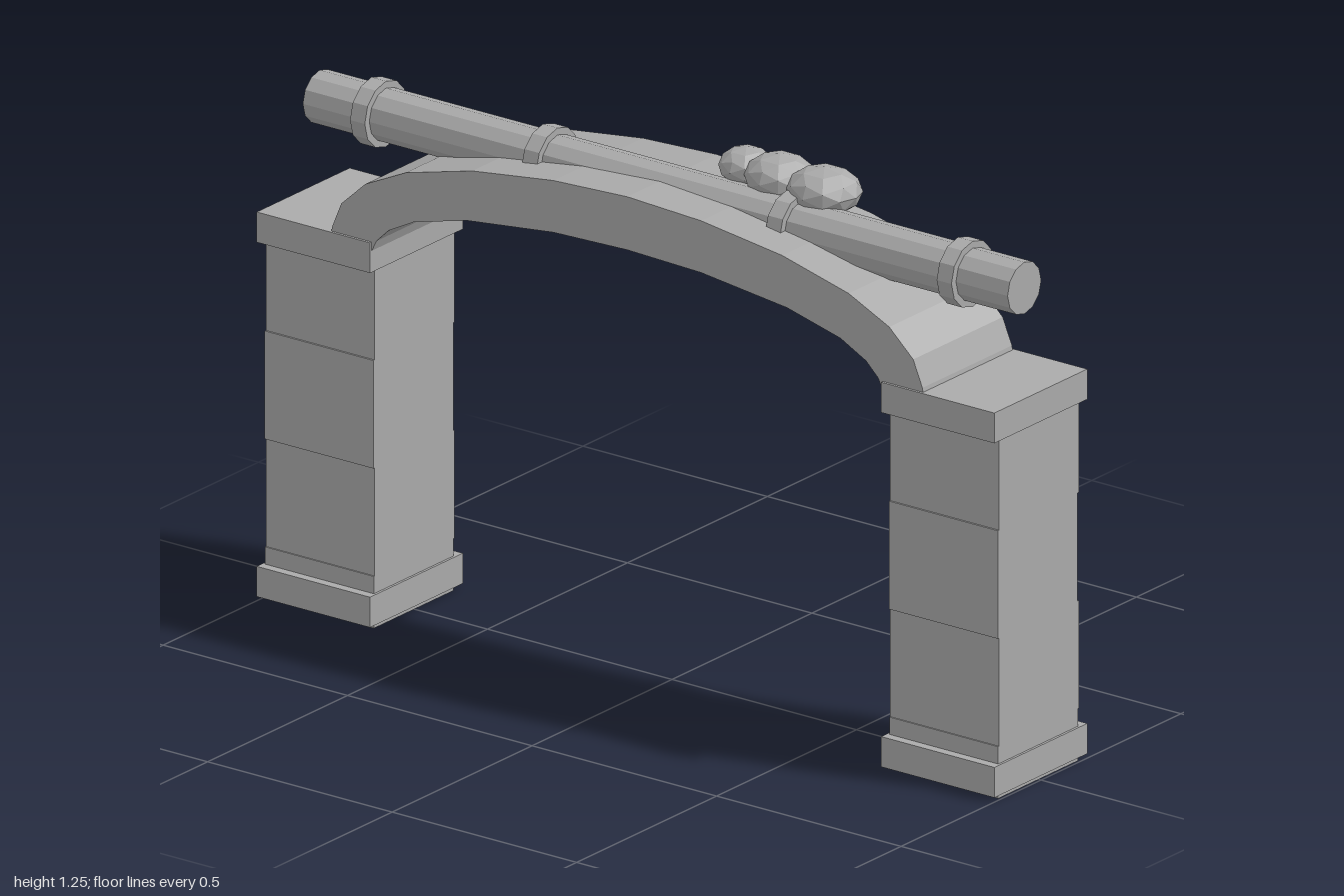
import * as THREE from 'three';

export function createModel() {
  const group = new THREE.Group();
  const stone = new THREE.MeshStandardMaterial({ color: 0xaaaaaa, flatShading: true });
  stone.name = 'grey stone';

  const add = (name, geometry, x = 0, y = 0, z = 0, parent = group) => {
    const mesh = new THREE.Mesh(geometry, stone);
    mesh.name = name;
    mesh.position.set(x, y, z);
    parent.add(mesh);
    return mesh;
  };

  // Pillars: stacked blocks, each shifted slightly in depth, with a base and a cap
  const joints = [0, 0.12, 0.37, 0.62, 0.84];
  const shifts = [0.002, -0.001, 0.003, -0.001];
  for (const side of [-1, 1]) {
    const pillar = new THREE.Group();
    pillar.name = side < 0 ? 'rightPillar' : 'leftPillar';
    pillar.position.x = side * 0.846;
    group.add(pillar);
    shifts.forEach((shift, i) => {
      const h = joints[i + 1] - joints[i];
      add('pillarBlock', new THREE.BoxGeometry(0.295, h, 0.285), 0, joints[i] + h / 2, shift, pillar);
    });
    add('pillarBase', new THREE.BoxGeometry(0.307, 0.07, 0.332), 0, 0.045, 0, pillar);
    add('pillarCap', new THREE.BoxGeometry(0.307, 0.07, 0.332), 0, 0.865, 0, pillar);
  }

  // Arch: half profiles from foot to crown, mirrored into one closed outline
  const outer = [[0.805, 0.88], [0.8, 0.91], [0.775, 0.97], [0.71, 1.03], [0.6, 1.082],
    [0.42, 1.128], [0.2, 1.157], [0, 1.166]];
  const inner = [[0.692, 0.88], [0.68, 0.905], [0.647, 0.937], [0.578, 0.973],
    [0.433, 1.01], [0.2, 1.037], [0, 1.043]];
  const span = (half) => [
    ...half.map(([x, y]) => new THREE.Vector2(-x, y)),
    ...half.slice(0, -1).reverse().map(([x, y]) => new THREE.Vector2(x, y)),
  ];
  const archShape = new THREE.Shape([...span(outer), ...span(inner).reverse()]);
  const arch = new THREE.ExtrudeGeometry(archShape, { depth: 0.32, bevelEnabled: false });
  arch.translate(0, 0, -0.16);
  add('arch', arch);

  // Log lying along the crown, held by four bands
  const rod = (radius, length) => new THREE.CylinderGeometry(radius, radius, length, 12).rotateZ(Math.PI / 2);
  add('log', rod(0.06, 1.91), 0, 1.128, 0);
  for (const x of [-0.795, -0.33, 0.33, 0.795]) add('logBand', rod(0.076, 0.04), x, 1.128, 0);

  // Three faceted clumps resting on the log
  const clumps = [
    [0.145, 1.2, -0.075, 0.062, 0.044, 0.06],
    [0.245, 1.203, -0.063, 0.08, 0.052, 0.075],
    [0.37, 1.202, -0.057, 0.086, 0.053, 0.079],
  ];
  clumps.forEach(([x, y, z, rx, ry, rz]) => {
    add('clump', new THREE.IcosahedronGeometry(1, 1).scale(rx, ry, rz), x, y, z);
  });

  return group;
}
